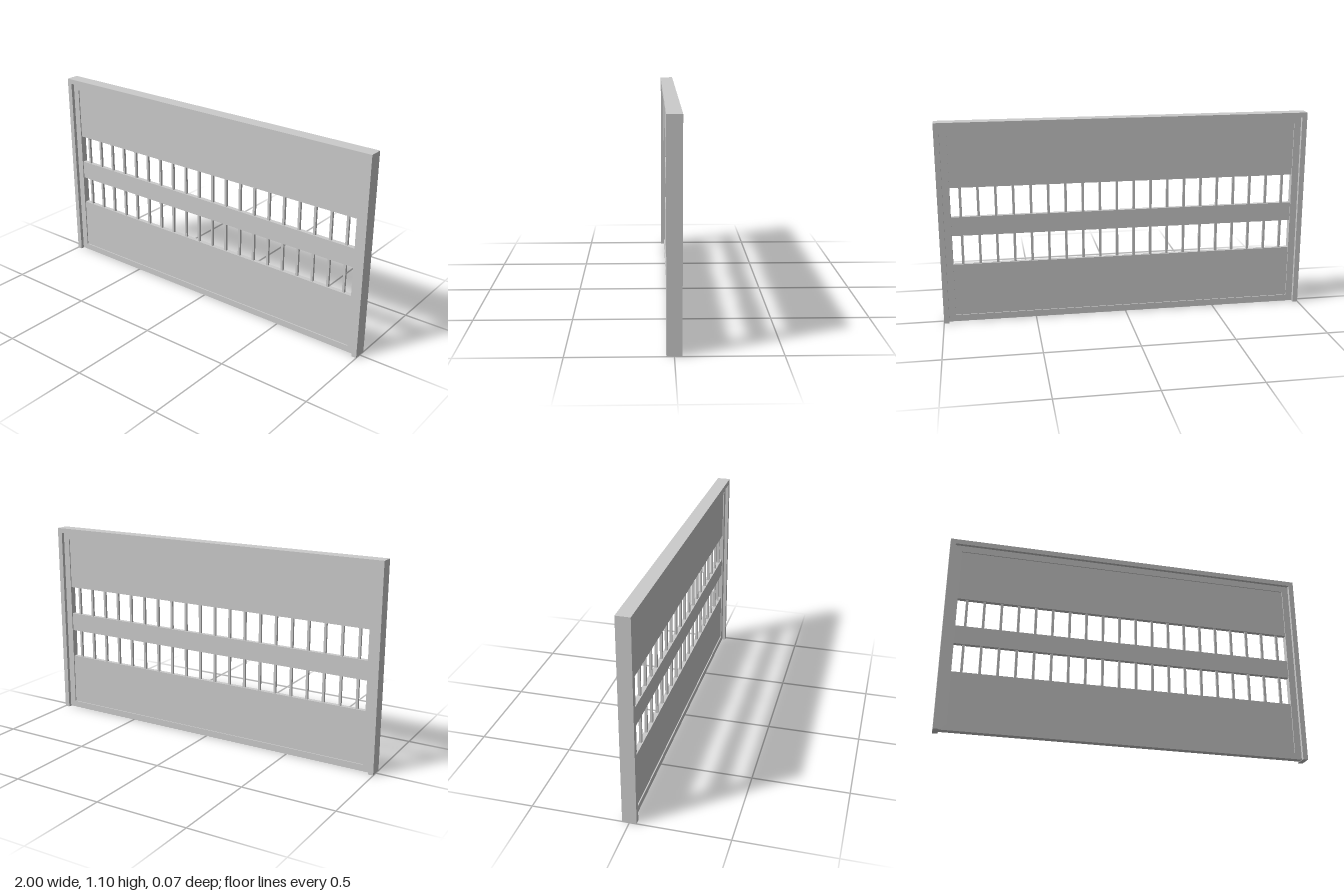
import * as THREE from 'three';

const material = new THREE.MeshStandardMaterial({ color: 0xcccccc, flatShading: true });

// Flat outline extruded symmetrically about z = 0
function slab(name, points, depth, holes = []) {
  const toVectors = (list) => list.map(([x, y]) => new THREE.Vector2(x, y));
  const shape = new THREE.Shape(toVectors(points));
  for (const hole of holes) shape.holes.push(new THREE.Path(toVectors(hole)));
  const geometry = new THREE.ExtrudeGeometry(shape, { depth, bevelEnabled: false });
  geometry.translate(0, 0, -depth / 2);
  const mesh = new THREE.Mesh(geometry, material);
  mesh.name = name;
  return mesh;
}

const rect = (halfWidth, y0, y1) => [[-halfWidth, y0], [halfWidth, y0], [halfWidth, y1], [-halfWidth, y1]];

export function createModel() {
  const group = new THREE.Group();
  group.name = 'slottedPanel';

  const height = 1.097, outerInner = 0.972, frameTop = 1.07;
  const panelHalf = 0.935, panelBottom = 0.038, panelTop = 1.034;

  // Outer frame: two posts and a head, open at the bottom
  group.add(slab('outerFrame', [
    [-1, 0], [-outerInner, 0], [-outerInner, frameTop], [outerInner, frameTop],
    [outerInner, 0], [1, 0], [1, height], [-1, height],
  ], 0.073));

  // Recessed inner frame around the panel
  group.add(slab('innerFrame', rect(outerInner, 0.003, frameTop), 0.036,
    [rect(panelHalf, panelBottom, panelTop)]));

  // Solid panels above, between and below the two slots
  const bands = [
    ['lowerPanel', panelBottom, 0.325],
    ['middleRail', 0.485, 0.588],
    ['upperPanel', 0.748, panelTop],
  ];
  for (const [name, y0, y1] of bands) group.add(slab(name, rect(panelHalf, y0, y1), 0.024));

  // Rows of thin upright bars in the slots
  const count = 20, first = -0.883, step = 0.0929, barSize = 0.013;
  for (const [row, y0, y1] of [['lowerBars', 0.325, 0.485], ['upperBars', 0.588, 0.748]]) {
    const bars = new THREE.Group();
    bars.name = row;
    const geometry = new THREE.BoxGeometry(barSize, y1 - y0, barSize);
    for (let i = 0; i < count; i++) {
      const bar = new THREE.Mesh(geometry, material);
      bar.name = 'bar';
      bar.position.set(first + i * step, (y0 + y1) / 2, 0);
      bars.add(bar);
    }
    group.add(bars);
  }
  return group;
}
